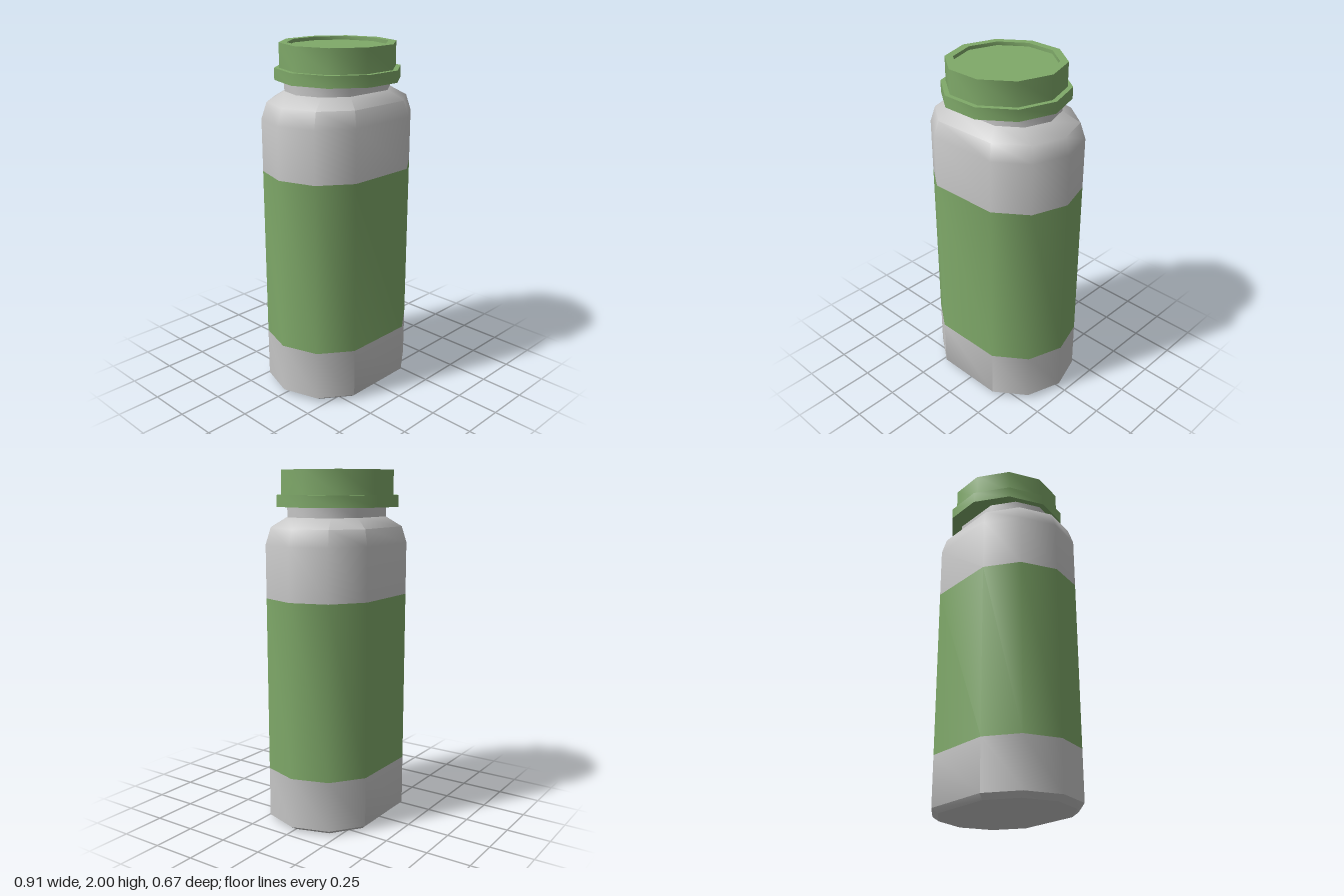
import * as THREE from 'three';
import { toCreasedNormals } from 'three/addons/utils/BufferGeometryUtils.js';

const SIDES = 10;
const STRETCH = 0.283; // sideways widening of the body, as a share of the radius
const R = 0.353;

// Ten-sided turned shape; stretch pushes its two halves apart along x
function turned(profile, stretch = 0) {
  const points = profile.map(([r, y]) => new THREE.Vector2(r, y));
  const geometry = new THREE.LatheGeometry(points, SIDES, Math.PI / 2);
  const pos = geometry.attributes.position;
  for (let i = 0; i < pos.count; i++) {
    const x = pos.getX(i);
    const r = Math.hypot(x, pos.getZ(i));
    pos.setX(i, x + Math.sign(x) * stretch * r);
  }
  return toCreasedNormals(geometry, THREE.MathUtils.degToRad(50));
}

export function createModel() {
  const plastic = new THREE.MeshStandardMaterial({ name: 'grey plastic', color: 0xc6c6c6 });
  const green = new THREE.MeshStandardMaterial({ name: 'green', color: 0x7fa969 });

  const bottle = new THREE.Group();
  bottle.name = 'bottle';
  const add = (name, material, profile, stretch) => {
    const mesh = new THREE.Mesh(turned(profile, stretch), material);
    mesh.name = name;
    bottle.add(mesh);
  };

  // Body, from the floor up
  add('floor', plastic, [[0, 0], [R * 0.91, 0]], STRETCH);
  add('base', plastic, [[R * 0.91, 0], [R, 0.027], [R, 0.315]], STRETCH);
  add('label', green, [[R, 0.315], [R, 1.305]], STRETCH);
  add('shoulder', plastic, [
    [R, 1.305], [R, 1.6], [R * 0.93, 1.69], [R * 0.7, 1.745], [R * 0.7, 1.82],
  ], STRETCH);

  // Cap with a flange below and a shallow recess in its top
  add('cap', green, [
    [0, 1.8], [R, 1.8], [R, 1.865], [0.325, 1.865], [0.325, 2],
    [0.28, 2], [0.28, 1.98], [0, 1.98],
  ]);

  return bottle;
}
